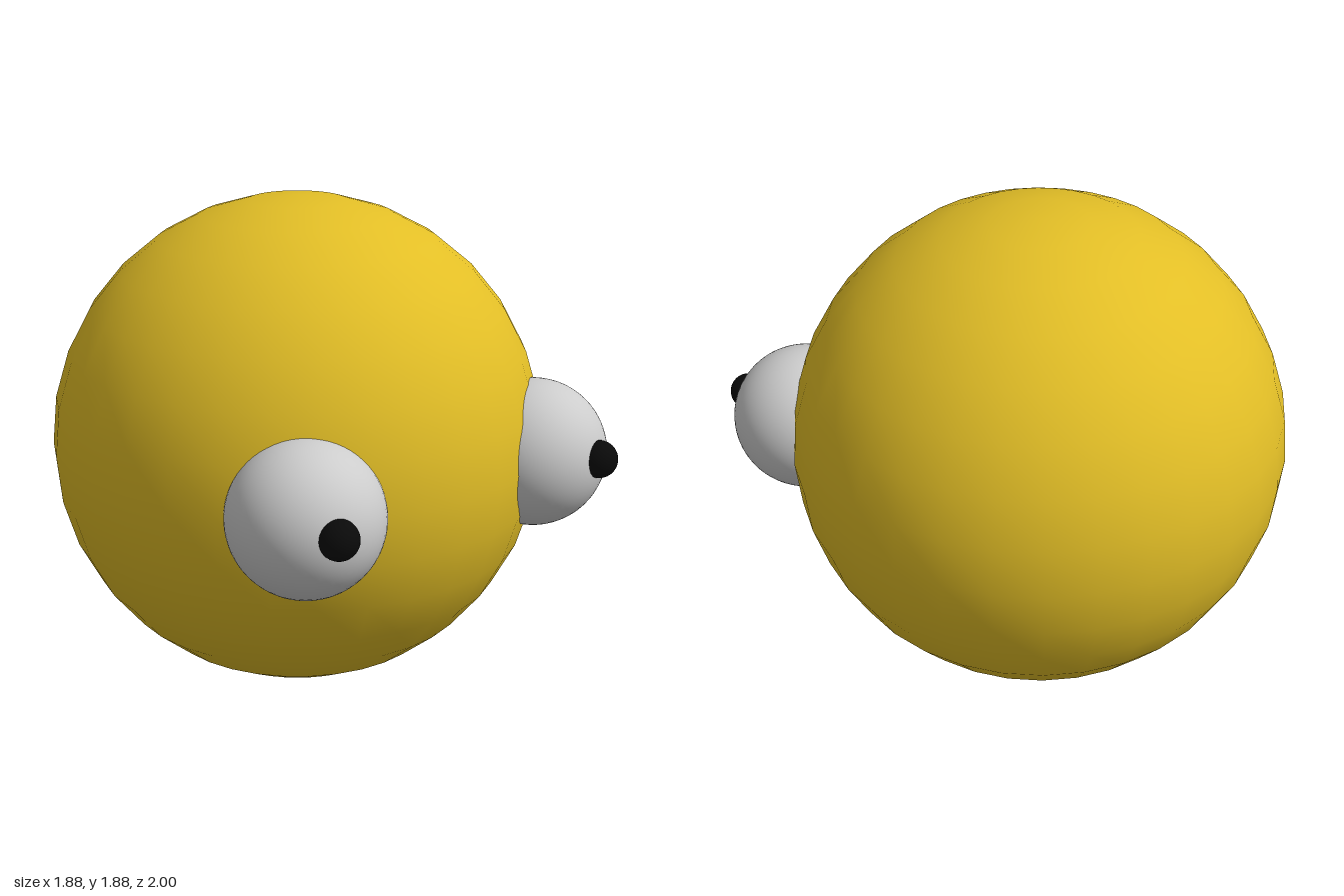
import * as THREE from 'three';

const yellow = new THREE.MeshStandardMaterial({ name: 'yellow', color: 0xe2be26 });
const eyeWhite = new THREE.MeshStandardMaterial({ name: 'eyeWhite', color: 0xcccccc });
const black = new THREE.MeshStandardMaterial({ name: 'black', color: 0x0a0a0a });

function ball(name, radius, x, y, z, material, columns, rows) {
  const mesh = new THREE.Mesh(new THREE.SphereGeometry(radius, columns, rows), material);
  mesh.name = name;
  mesh.position.set(x, y, z);
  return mesh;
}

export function createModel() {
  const model = new THREE.Group();
  model.name = 'ballCreature';

  // Round body
  model.add(ball('body', 0.94, 0, 0.94, -0.06, yellow, 32, 16));

  // Bulging eyes with pupils, mirrored left and right
  for (const [side, s] of [['left', 1], ['right', -1]]) {
    const eye = new THREE.Group();
    eye.name = side + 'Eye';
    eye.add(ball(side + 'Eyeball', 0.278, s * 0.55, 0.947, 0.667, eyeWhite, 64, 32));
    eye.add(ball(side + 'Pupil', 0.07, s * 0.625, 0.97, 0.93, black, 32, 16));
    model.add(eye);
  }
  return model;
}
